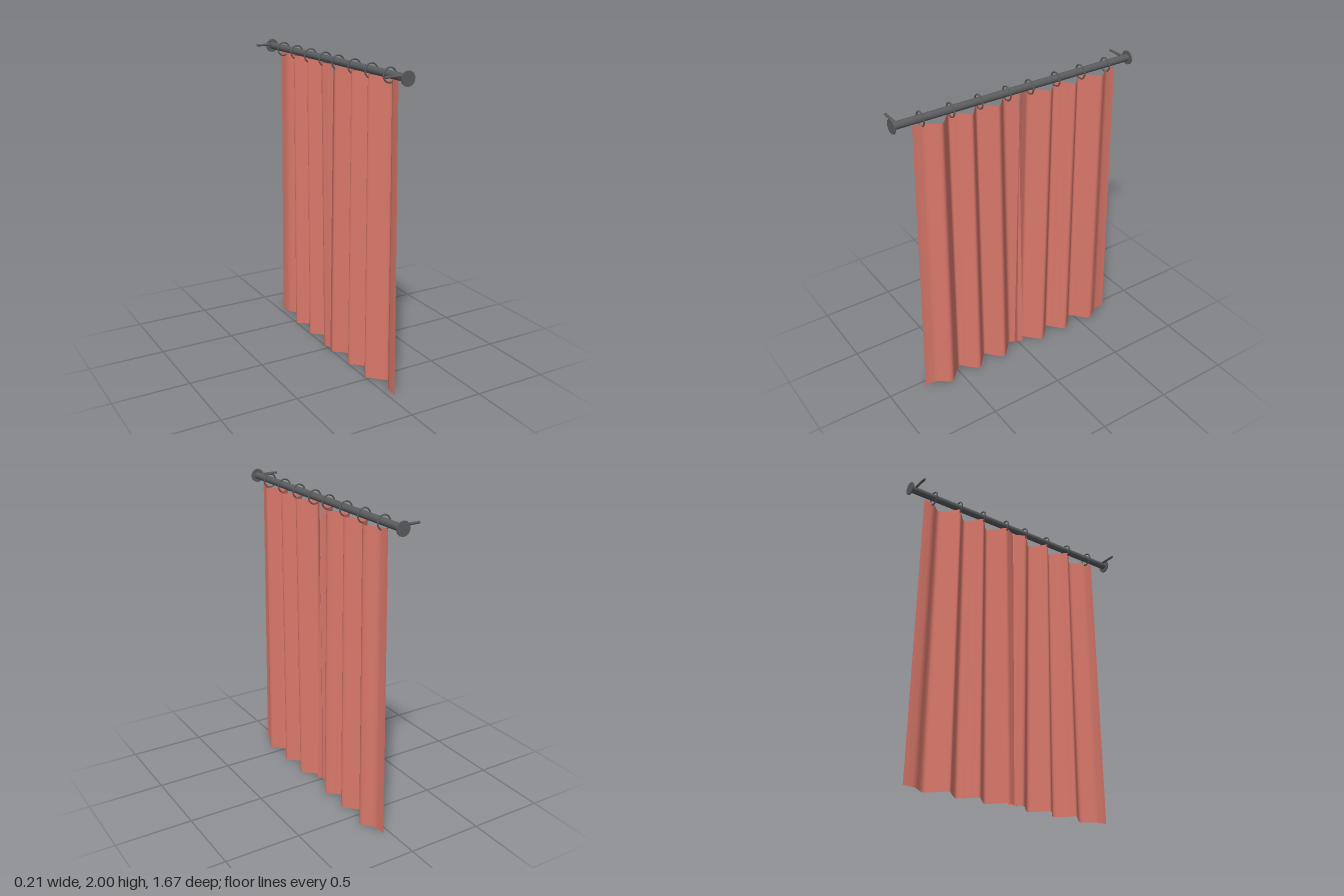
import * as THREE from 'three';

const ROD_X = 0.024, ROD_Y = 1.956, HALF = 0.835;
const metal = new THREE.MeshStandardMaterial({ color: 0x5a5c5e });
const cloth = new THREE.MeshStandardMaterial({ color: 0xd9786a, side: THREE.DoubleSide });

function add(group, name, geometry, material, x, y, z) {
  const mesh = new THREE.Mesh(geometry, material);
  mesh.name = name;
  mesh.position.set(x, y, z);
  group.add(mesh);
  return mesh;
}

// Pleats of one panel seen from above, as (z, x) from the inner to the outer edge
const pleats = new THREE.SplineCurve([
  [0.005, 0.035], [0.05, 0.013], [0.09, 0.003], [0.132, 0.05], [0.183, 0.097],
  [0.235, 0.045], [0.275, 0.003], [0.318, 0.05], [0.365, 0.098],
  [0.42, 0.047], [0.46, 0.003], [0.507, 0.05], [0.565, 0.103],
  [0.635, 0.052], [0.675, 0.042], [0.715, 0.04],
].map(([z, x]) => new THREE.Vector2(z, x)));

// Pleated sheet that widens about its own middle towards the hem
function panelGeometry(side) {
  const height = 1.93, middle = 0.36, flare = 0.113;
  const g = new THREE.PlaneGeometry(1, height, 120, 6);
  const pos = g.attributes.position;
  const p = new THREE.Vector2();
  for (let i = 0; i < pos.count; i++) {
    pleats.getPoint(0.5 - side * pos.getX(i), p);
    const y = pos.getY(i) + height / 2;
    const spread = 1 + flare * (1 - y / height);
    pos.setXYZ(i, p.y, y, side * (middle + (p.x - middle) * spread));
  }
  g.computeVertexNormals();
  return g;
}

export function createModel() {
  const model = new THREE.Group();
  model.name = 'curtain';

  // Rod
  const rod = new THREE.CylinderGeometry(0.023, 0.023, HALF * 2 - 0.01, 24).rotateX(Math.PI / 2);
  add(model, 'rod', rod, metal, ROD_X, ROD_Y, 0);

  const cap = new THREE.CylinderGeometry(0.044, 0.044, 0.008, 24).rotateX(Math.PI / 2);
  const bracket = new THREE.CylinderGeometry(0.008, 0.008, 0.12, 12).rotateZ(Math.PI / 2);
  const ring = new THREE.TorusGeometry(0.043, 0.005, 8, 28);

  for (const side of [1, -1]) {
    const label = side > 0 ? 'front' : 'back';
    // End caps and wall brackets
    add(model, label + 'EndCap', cap, metal, ROD_X, ROD_Y, side * (HALF - 0.004));
    add(model, label + 'Bracket', bracket, metal, -0.046, 1.968, side * 0.8);
    // Hanging rings
    for (const z of [0.08, 0.272, 0.46, 0.653])
      add(model, label + 'Ring', ring, metal, ROD_X, ROD_Y - 0.004, side * z);
    // Cloth panels
    add(model, label + 'Panel', panelGeometry(side), cloth, 0, 0, 0);
  }
  return model;
}
